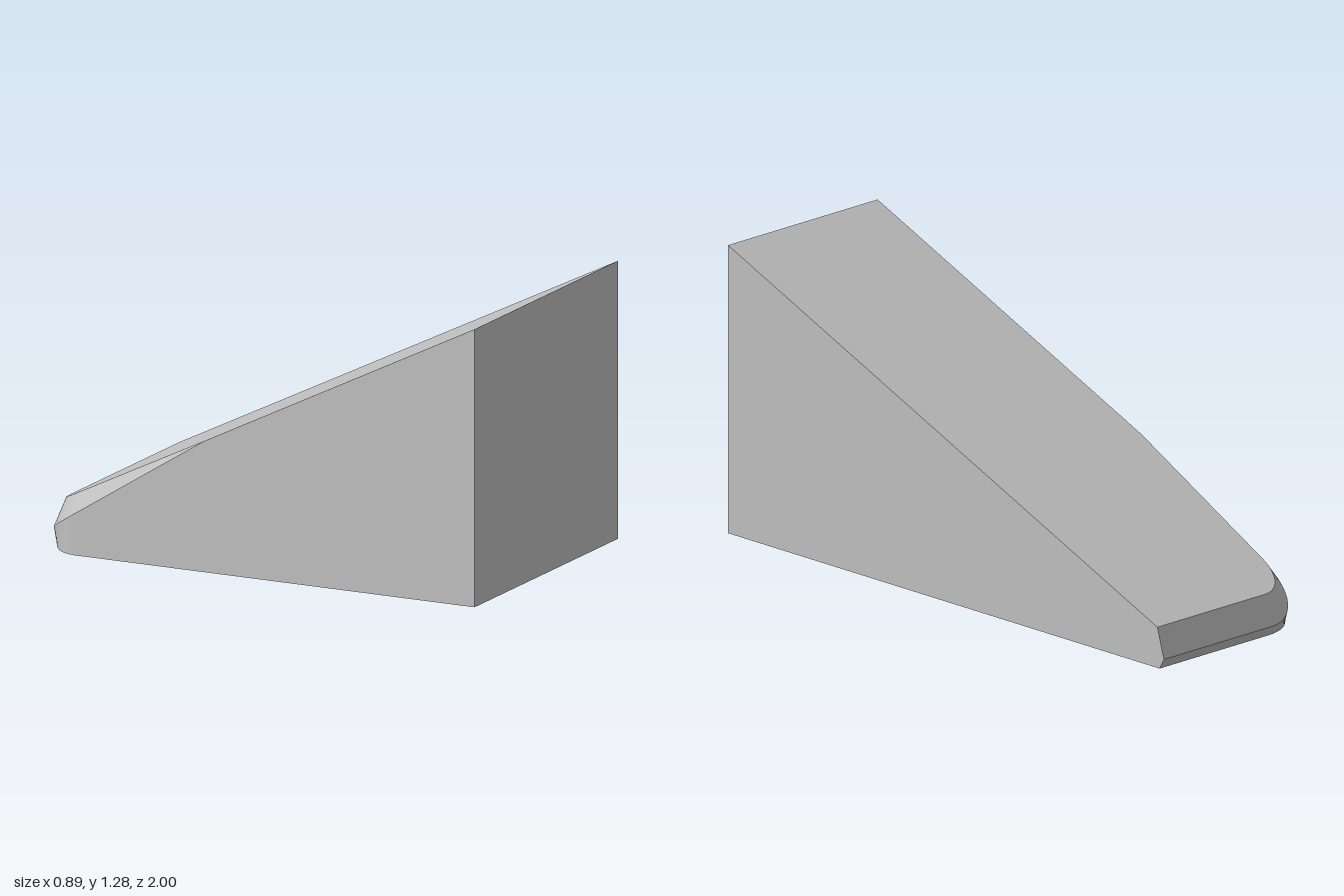
import * as THREE from 'three';
import { toCreasedNormals } from 'three/addons/utils/BufferGeometryUtils.js';

const RIGHT = 0.443, LEFT = -0.443, APEX = -0.21;

// heights of the sloping top, the bevel's lower edge and the underside at depth z
const topY = z => 0.153 + (z + 0.97) * 0.5746;
const bevelY = z => Math.min(topY(z), 0.037 + (z + 1) * 0.697);
const underY = z => (z + 0.98) * 0.106;

// one station of the outline: points on the top, the bevel's lower edge and the underside
const station = (topX, topZ, x, z, underZ = z) => [
  [topX, topY(topZ), topZ],
  [x, bevelY(z), z],
  [x, underY(underZ), underZ],
];

function wedgeGeometry() {
  // back edge, then the rounded back corner
  const ring = [station(RIGHT, -0.97, RIGHT, -1, -0.98)];
  const steps = 24;
  for (let i = 0; i <= steps; i++) {
    const t = i / steps, a = t * Math.PI / 2, b = a * 0.91;
    const z = -0.79 - 0.21 * Math.cos(a);
    ring.push(station(
      -0.195 - 0.168 * Math.sin(b), -0.805 - 0.165 * Math.cos(b),
      -0.197 + (LEFT + 0.197) * Math.sin(a), z, z + 0.02 * Math.cos(a)));
  }
  // end of the side bevel, then the front corners
  ring.push(station(LEFT, APEX, LEFT, APEX));
  for (const x of [LEFT, RIGHT]) {
    const s = station(x, 1, x, 1);
    s[1] = s[0];
    ring.push(s);
  }

  const pos = [];
  const v = p => new THREE.Vector3(...p);
  const tri = (a, b, c) => {
    const area = new THREE.Triangle(v(a), v(b), v(c)).getArea();
    if (area > 1e-7) pos.push(...a, ...b, ...c);
  };
  const n = ring.length;
  // bevel and wall bands around the outline
  ring.forEach((c, i) => {
    const d = ring[(i + 1) % n];
    for (let k = 0; k < 2; k++) {
      tri(c[k + 1], d[k + 1], d[k]);
      tri(c[k + 1], d[k], c[k]);
    }
  });
  // sloping top and underside, fanned from the front right corner
  const hub = ring[n - 1];
  for (let i = 0; i < n - 2; i++) {
    tri(hub[0], ring[i][0], ring[i + 1][0]);
    tri(hub[2], ring[i + 1][2], ring[i][2]);
  }
  const g = new THREE.BufferGeometry();
  g.setAttribute('position', new THREE.Float32BufferAttribute(pos, 3));
  return toCreasedNormals(g, 0.3);
}

export function createModel() {
  const grey = new THREE.MeshStandardMaterial({ color: 0xc0c0c0 });
  grey.name = 'light grey';
  const wedge = new THREE.Mesh(wedgeGeometry(), grey);
  wedge.name = 'wedgeBlock';
  const group = new THREE.Group();
  group.name = 'bevelledWedge';
  group.add(wedge);
  return group;
}
